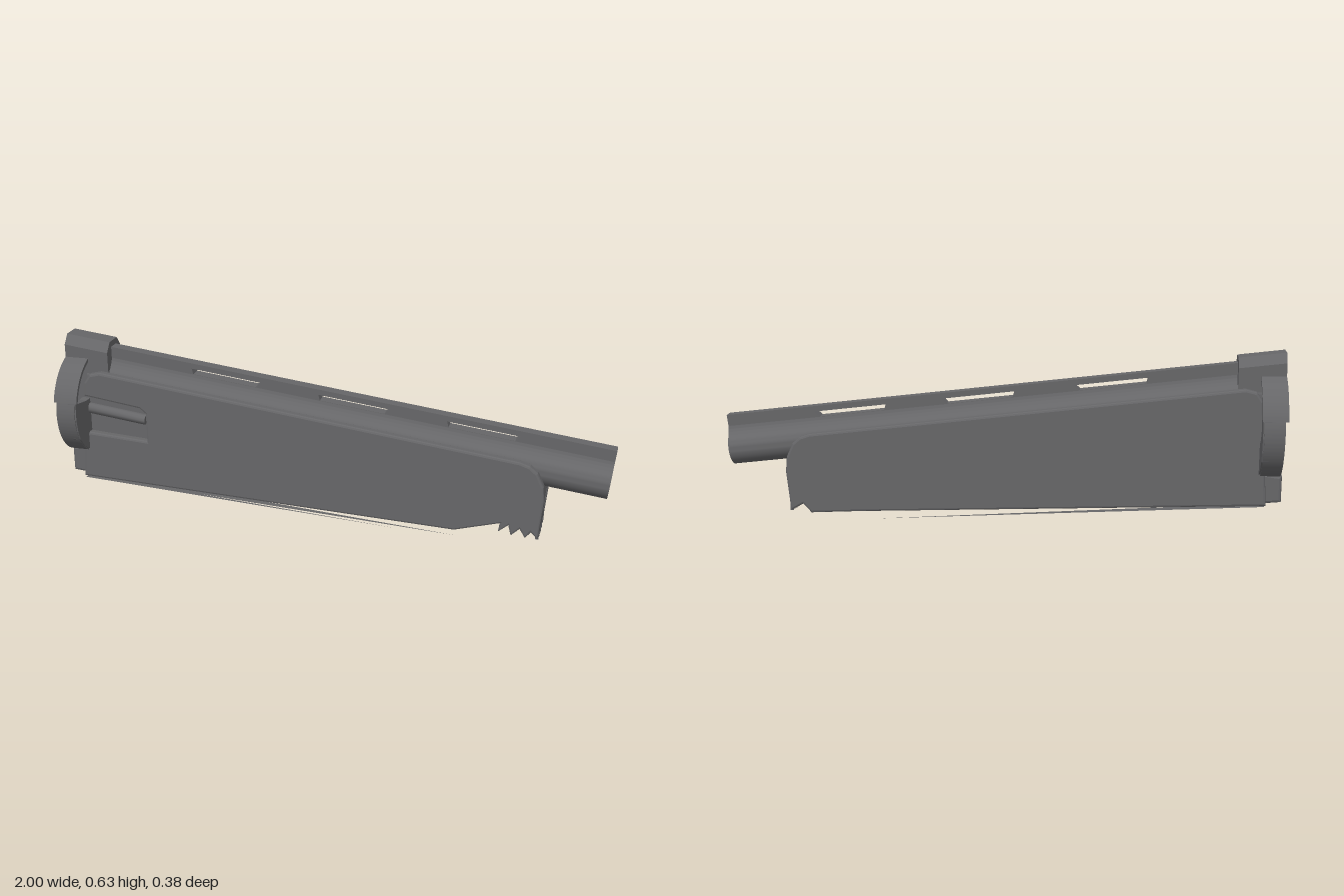
import * as THREE from 'three';
import { toCreasedNormals } from 'three/addons/utils/BufferGeometryUtils.js';

const SLOPE = 0.122;
const TILT = Math.atan(SLOPE);

export function createModel() {
  const model = new THREE.Group();
  const metal = new THREE.MeshStandardMaterial({ color: 0x666668, side: THREE.DoubleSide });
  metal.name = 'gunmetal';

  const add = (name, geometry, parent = model) => {
    const mesh = new THREE.Mesh(geometry, metal);
    mesh.name = name;
    parent.add(mesh);
    return mesh;
  };
  const poly = (pts) => new THREE.Shape(pts.map(([a, b]) => new THREE.Vector2(a, b)));
  const smooth = (g) => toCreasedNormals(g, 0.6);
  // side outline (x, y) extruded from z0 to z1, with an optional bevel inside those limits
  const sideways = (shape, z0, z1, bevel = 0) => new THREE.ExtrudeGeometry(shape, {
    depth: z1 - z0 - 2 * bevel, curveSegments: 12, bevelEnabled: bevel > 0, bevelSegments: 2,
    bevelThickness: bevel, bevelSize: bevel, bevelOffset: -bevel,
  }).translate(0, 0, z0 + bevel);
  // cross-section (z, y) extruded from x0 to x1
  const lengthways = (shape, x0, x1) => new THREE.ExtrudeGeometry(shape, {
    depth: x1 - x0, bevelEnabled: false, curveSegments: 20,
  }).rotateY(Math.PI / 2).translate(x0, 0, 0);

  // barrel assembly, built level from the muzzle backwards and then tilted
  const barrelGroup = new THREE.Group();
  barrelGroup.name = 'barrelAssembly';
  barrelGroup.position.set(0.985, 0.248, 0);
  barrelGroup.rotation.z = -TILT;
  model.add(barrelGroup);

  const section = new THREE.Shape();
  const a0 = 0.7;
  section.moveTo(0.021, 0.082);
  section.quadraticCurveTo(0.024, 0.062, 0.063 * Math.cos(a0), 0.063 * Math.sin(a0));
  section.absarc(0, 0, 0.063, a0, Math.PI - a0, true);
  section.quadraticCurveTo(-0.024, 0.062, -0.021, 0.082);
  section.closePath();
  section.holes.push(new THREE.Path().absarc(0, 0, 0.051, 0, Math.PI * 2, false));
  add('barrel', smooth(lengthways(section, -1.92, 0)), barrelGroup);

  // top rib with three vent slots
  const rib = poly([[-1.92, 0.075], [0, 0.075], [0, 0.123], [-1.92, 0.123]]);
  for (const u of [-1.535, -1.058, -0.59]) {
    rib.holes.push(new THREE.Path([[u, 0.103], [u + 0.262, 0.103], [u + 0.245, 0.083],
      [u + 0.008, 0.083]].map(([x, y]) => new THREE.Vector2(x, y))));
  }
  add('ventRib', sideways(rib, -0.021, 0.021), barrelGroup);

  // sloping collar over the rear of the barrel
  const collar = lengthways(poly([[-0.06, 0.5], [0.06, 0.5], [0.06, 0.602], [0.033, 0.635],
    [-0.033, 0.635], [-0.06, 0.602]]), -1, -0.835);
  const p = collar.attributes.position;
  for (let i = 0; i < p.count; i++) p.setY(i, p.getY(i) - SLOPE * (p.getX(i) + 1));
  collar.computeVertexNormals();
  add('collar', collar);

  // rear frame
  add('rearFrame', sideways(poly([[-1, 0.3], [-0.9, 0.3], [-0.87, 0.5], [-0.9, 0.55],
    [-1, 0.56]]), -0.057, 0.057));
  add('rearHinge', smooth(new THREE.CylinderGeometry(0.04, 0.04, 0.1, 16)
    .rotateX(Math.PI / 2).translate(-0.95, 0.25, 0)));
  add('rearFoot', sideways(poly([[-1, 0.105], [-0.92, 0.097], [-0.92, 0.21], [-1, 0.2]]),
    -0.062, 0.062, 0.01));

  // forend core between the side panels
  add('forendCore', sideways(poly([[-0.93, 0.097], [0.755, 0.09], [0.765, 0.18], [0.757, 0.235],
    [0.73, 0.285], [0.68, 0.312], [-0.88, 0.495], [-0.93, 0.46]]), -0.06, 0.06));

  // side panels: the left one has a rear notch and a broken lower corner
  const upper = [[0.755, 0.035], [0.77, 0.18], [0.765, 0.235], [0.742, 0.285], [0.715, 0.308],
    [0.68, 0.32], [-0.86, 0.512], [-0.9, 0.502], [-0.922, 0.47]];
  const notch = [[-0.927, 0.418], [-0.71, 0.388], [-0.688, 0.37], [-0.688, 0.262], [-0.935, 0.278]];
  const broken = [[0.46, 0.038], [0.62, 0.083], [0.615, 0.05], [0.65, 0.078], [0.66, 0.04],
    [0.69, 0.068], [0.71, 0.035], [0.73, 0.06]];
  add('leftPanel', sideways(poly([[-0.945, 0.098], ...broken, ...upper, ...notch]),
    0.055, 0.09, 0.008));
  add('rightPanel', sideways(poly([[-0.945, 0.098], [0.5, 0.038], [0.68, 0.028], [0.71, 0.06],
    ...upper]), -0.09, -0.055, 0.008));

  // rod inside the notch
  add('slideRod', smooth(new THREE.CylinderGeometry(0.02, 0.02, 0.23, 12)
    .rotateZ(Math.PI / 2 - TILT).translate(-0.81, 0.352, 0.062)));

  // jagged teeth across the broken front wall
  const teeth = poly([[-0.082, 0.13], [-0.082, 0.035], [-0.074, 0.085], [-0.06, 0.035],
    [-0.045, 0.085], [-0.026, 0.03], [-0.026, 0.075], [-0.02, 0.085], [0, 0.03], [0.024, 0.085],
    [0.03, 0.03], [0.052, 0.085], [0.064, 0.035], [0.076, 0.085], [0.082, 0.035], [0.082, 0.13]]);
  add('frontTeeth', lengthways(teeth, 0.745, 0.758));

  // long splinters of the underside sheet, tapering towards the front
  for (const [z, halfWidth, tipX] of [[0.055, 0.024, 0.46], [-0.056, 0.024, 0.44],
    [0.078, 0.01, 0.25], [0, 0.022, -0.1]]) {
    const tipY = 0.093 - (tipX + 0.94) * 0.0645;
    const sheet = new THREE.BufferGeometry();
    sheet.setAttribute('position', new THREE.Float32BufferAttribute([
      -0.94, 0.093, z - halfWidth, tipX, tipY, z, -0.94, 0.093, z + halfWidth], 3));
    sheet.computeVertexNormals();
    add('undersideSplinter', sheet);
  }

  // broken drum: a curved wall on each side, with partial end caps
  const CY = 0.375;
  const arcWall = (from, to, outer, inner) => {
    const s = new THREE.Shape();
    s.absarc(0, CY, outer, from, to, false);
    s.absarc(0, CY, inner, to, from, true);
    return s;
  };
  const rad = THREE.MathUtils.degToRad;
  for (const side of [1, -1]) {
    const drum = new THREE.Group();
    drum.name = side > 0 ? 'leftDrum' : 'rightDrum';
    model.add(drum);
    const place = (s, x0, x1) => {
      const g = lengthways(s, x0, x1);
      return side > 0 ? g.rotateY(Math.PI).translate(x0 + x1, 0, 0) : g;
    };
    add('upperWall', smooth(place(arcWall(rad(14), rad(74), 0.19, 0.178), -1, -0.912)), drum);
    add('lowerWall', smooth(place(arcWall(rad(-62), rad(14), 0.19, 0.172), -0.99, -0.92)), drum);
    const rim = [[0.185, 0.42], [0.187, 0.36], [0.177, 0.31], [0.162, 0.275], [0.13, 0.237],
      [0.088, 0.212]].reverse();
    const inner = side > 0
      ? [[0.09, 0.402], [0.04, 0.402], [0.04, 0.212]]
      : [[0.13, 0.425], [0.14, 0.39], [0.12, 0.345], [0.09, 0.32], [0.04, 0.31], [0.04, 0.212]];
    add('endCap', place(poly([...rim, ...inner]), -0.945, -0.915), drum);
    if (side < 0) {
      add('capShard', place(poly([[0.06, 0.32], [0.09, 0.322], [0.12, 0.347], [0.14, 0.39],
        [0.132, 0.425], [0.09, 0.382], [0.06, 0.37]]), -0.99, -0.965), drum);
    }
  }

  return model;
}
